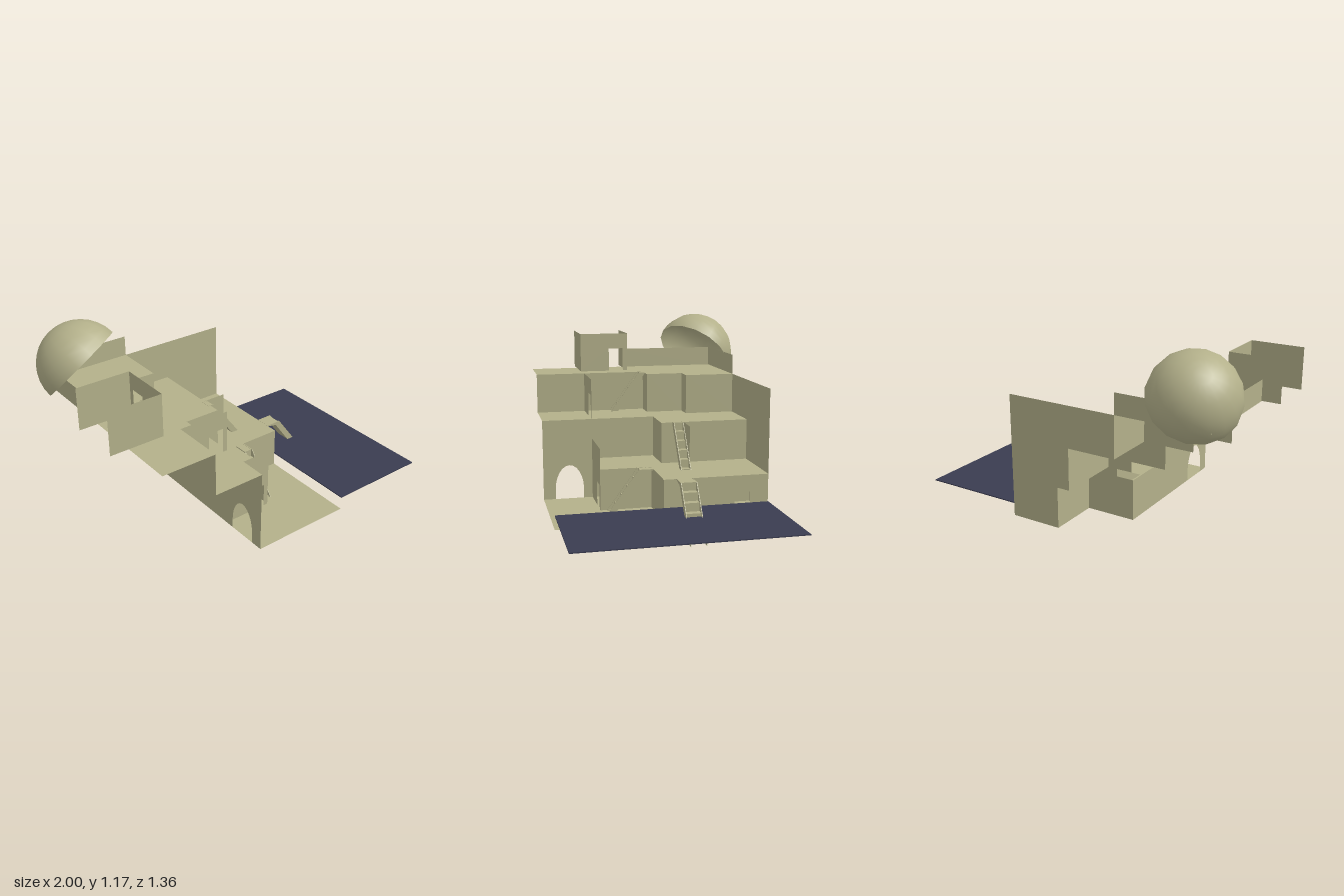
import * as THREE from 'three';

const stone = new THREE.MeshStandardMaterial({ color: 0xb3b08a, side: THREE.DoubleSide });
const waterBlue = new THREE.MeshStandardMaterial({ color: 0x3a3c50, side: THREE.DoubleSide });

// Heights of the four terraces
const Y1 = 0.05, Y2 = 0.302, Y3 = 0.555, Y4 = 0.805;
const BACK = -0.58, FRONT = 0.675;

const toVectors = (points) => points.map(([a, b]) => new THREE.Vector2(a, b));

function addMesh(parent, name, geometry, material = stone) {
  const mesh = new THREE.Mesh(geometry, material);
  mesh.name = name;
  parent.add(mesh);
  return mesh;
}

// Horizontal sheet from an outline of [x, z] corners
function floor(parent, name, y, outline) {
  const geometry = new THREE.ShapeGeometry(new THREE.Shape(toVectors(outline.map(([x, z]) => [x, -z]))));
  geometry.rotateX(-Math.PI / 2).translate(0, y, 0);
  addMesh(parent, name, geometry);
}

// Upright sheet; axis 'x' runs along x at z = at, axis 'z' runs along z at x = at
function wall(parent, name, axis, at, a, b, y0, y1, opening = null) {
  const cutsBase = opening && opening[0][1] <= y0;
  const outline = [[a, y0], ...(cutsBase ? opening : []), [b, y0], [b, y1], [a, y1]];
  const shape = new THREE.Shape(toVectors(outline));
  if (opening && !cutsBase) shape.holes.push(new THREE.Path(toVectors(opening)));
  const geometry = new THREE.ShapeGeometry(shape);
  if (axis === 'z') geometry.rotateY(-Math.PI / 2).translate(at, 0, 0);
  else geometry.translate(0, 0, at);
  addMesh(parent, name, geometry);
}

const door = (a, b, y0, y1) => [[a, y0], [a, y1], [b, y1], [b, y0]];

function arch(a, b, y0, spring, top) {
  const points = [[a, y0]];
  for (let i = 0; i <= 12; i++) {
    const t = Math.PI * (1 - i / 12);
    points.push([(a + b) / 2 + Math.cos(t) * (b - a) / 2, spring + Math.sin(t) * (top - spring)]);
  }
  points.push([b, y0]);
  return points;
}

// Stair running down from its origin along local +x, with a short landing
function stair(parent, name, { landing, width, position, alongZ }) {
  const group = new THREE.Group();
  group.name = name;
  const rise = 0.3, run = 0.222, steps = 6, rail = 0.004;
  const end = landing + run;
  const underside = [[end - 0.047, -rise], [landing - 0.03, -0.02], [0, -0.006]];
  const extrude = (points, depth, z) =>
    new THREE.ExtrudeGeometry(new THREE.Shape(toVectors(points)), { depth, bevelEnabled: false }).translate(0, 0, z);

  // Side stringers
  const side = [[0, 0], [landing, 0], [end, -rise], ...underside];
  for (const z of [-width / 2, width / 2 - rail]) addMesh(group, 'stringer', extrude(side, rail, z));

  // Saw-tooth treads between the stringers
  const treads = [[0, -0.001]];
  for (let i = 0; i < steps; i++) {
    const x = landing - 0.008 + (run / steps) * i;
    const top = i === 0 ? -0.001 : -(rise / steps) * i;
    treads.push([x, top], [x, -(rise / steps) * (i + 1) + 0.001]);
  }
  addMesh(group, 'treads', extrude([...treads, ...underside], width - 2 * rail, -width / 2 + rail));

  group.position.set(...position);
  if (alongZ) group.rotation.y = -Math.PI / 2;
  parent.add(group);
}

export function createModel() {
  const model = new THREE.Group();
  model.name = 'terracedVillage';

  // Terrace floors
  floor(model, 'lowerFloor', Y1, [
    [0.37, BACK], [0.05, BACK], [0.05, -0.265], [-0.26, -0.265], [-0.26, FRONT], [0.37, FRONT]]);
  floor(model, 'secondFloor', Y2, [
    [0.37, BACK], [-0.03, BACK], [-0.03, -0.17], [-0.26, -0.17],
    [-0.26, 0.365], [0.05, 0.365], [0.05, 0.05], [0.37, 0.05]]);
  floor(model, 'thirdFloor', Y3, [
    [-0.03, BACK], [-0.03, -0.03], [-0.26, -0.03], [-0.26, FRONT], [-0.57, FRONT],
    [-0.57, -0.03], [-0.44, -0.03], [-0.44, -0.265], [-0.33, -0.265], [-0.33, BACK]]);
  floor(model, 'topFloor', Y4, [
    [-0.33, BACK], [-0.33, -0.265], [-0.44, -0.265], [-0.44, -0.03], [-0.57, -0.03],
    [-0.57, FRONT], [-0.89, FRONT], [-0.89, BACK]]);

  // Stepped back wall
  [[0.05, 0.37, Y1, Y2], [-0.03, 0.37, Y2, Y3], [-0.33, 0.37, Y3, Y4], [-0.89, -0.33, Y4, 0.93]]
    .forEach((span) => wall(model, 'backWall', 'x', BACK, ...span));

  // Lowest storey
  wall(model, 'archWall', 'z', -0.26, -0.265, FRONT, Y1, Y2, arch(0.42, 0.6, Y1, 0.11, 0.265));
  wall(model, 'lowerFrontWall', 'x', 0.365, -0.26, 0.05, Y1, 0.43, door(-0.075, 0.02, Y1, 0.2));
  wall(model, 'lowerSideWall', 'z', 0.05, 0.05, 0.365, Y1, Y2);
  wall(model, 'lowerRecessWall', 'x', 0.05, 0.05, 0.37, Y1, Y2);
  wall(model, 'shoreWall', 'z', 0.37, BACK, 0.05, Y1, Y2, door(-0.47, -0.375, 0.07, 0.2));
  wall(model, 'lowerRearSideWall', 'z', 0.05, BACK, -0.265, Y1, Y2);
  wall(model, 'lowerRearWall', 'x', -0.265, -0.26, 0.05, Y1, Y2);

  // Second storey
  wall(model, 'secondCliff', 'z', -0.26, -0.03, FRONT, Y2, Y3);
  wall(model, 'secondFrontWall', 'x', -0.03, -0.34, -0.03, Y2, Y3);
  wall(model, 'secondSideWall', 'z', -0.03, BACK, -0.03, Y2, Y3);
  wall(model, 'secondRecessWall', 'x', -0.17, -0.19, 0.12, Y2, Y3);

  // Third storey
  wall(model, 'thirdCliff', 'z', -0.57, -0.03, FRONT, Y3, Y4);
  wall(model, 'thirdHouseWall', 'x', 0.365, -0.57, -0.26, Y3, Y4, door(-0.385, -0.29, Y3, 0.705));
  wall(model, 'thirdFrontWall', 'x', -0.03, -0.76, -0.44, Y3, Y4);
  wall(model, 'thirdSideWall', 'z', -0.44, -0.265, -0.03, Y3, Y4);
  wall(model, 'thirdRecessWall', 'x', -0.265, -0.64, -0.33, Y3, Y4);
  wall(model, 'thirdRearSideWall', 'z', -0.33, BACK, -0.265, Y3, Y4);

  // Parapet and roofless house on the top floor
  wall(model, 'parapet', 'z', -0.89, BACK, 0.05, Y4, 0.93);
  for (const z of [0.055, 0.37]) wall(model, 'topHouseWall', 'x', z, -1, -0.68, Y4, 1.055);
  wall(model, 'topHouseDoorWall', 'z', -0.68, 0.055, 0.37, Y4, 1.055, door(0.085, 0.18, Y4, 0.955));

  // Tilted half-sphere shell, open towards the front right and down
  const dome = addMesh(model, 'dome',
    new THREE.SphereGeometry(0.258, 16, 8, 0, Math.PI * 2, 0, Math.PI / 2));
  dome.position.set(-0.715, 0.92, -0.425);
  dome.quaternion.setFromUnitVectors(
    new THREE.Vector3(0, 1, 0), new THREE.Vector3(-0.45, 0.69, -0.56).normalize());

  // Stairs
  stair(model, 'lowerStair', { landing: 0.09, width: 0.056, position: [0.083, 0.303, 0.05], alongZ: true });
  stair(model, 'shoreStair', { landing: 0.1, width: 0.095, position: [0.37, 0.304, -0.072] });
  stair(model, 'middleStair', { landing: 0.04, width: 0.062, position: [-0.045, 0.557, -0.133] });
  stair(model, 'upperStair', { landing: 0.04, width: 0.058, position: [-0.54, 0.807, -0.03], alongZ: true });

  // Water
  const water = addMesh(model, 'water', new THREE.BoxGeometry(0.63, 0.006, 1.255), waterBlue);
  water.position.set(0.685, 0.132, 0.045);

  return model;
}
